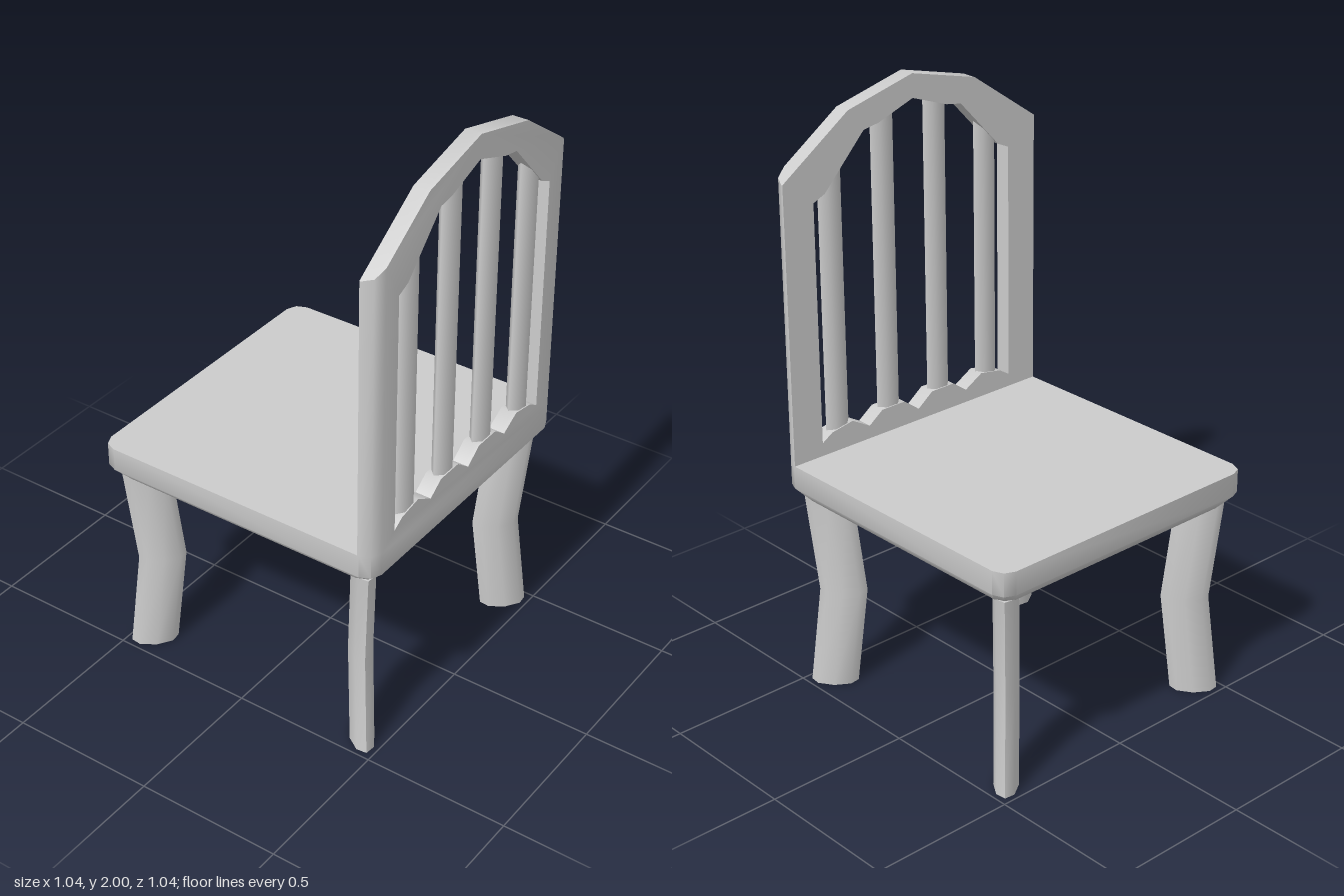
import * as THREE from 'three';
import { toCreasedNormals } from 'three/addons/utils/BufferGeometryUtils.js';

const material = new THREE.MeshStandardMaterial({ color: 0xcccccc });

function part(name, geometry) {
  const mesh = new THREE.Mesh(geometry, material);
  mesh.name = name;
  return mesh;
}

// Moves every vertex by a rule that edits it in place
function reshape(geometry, rule) {
  const pos = geometry.attributes.position;
  const v = new THREE.Vector3();
  for (let i = 0; i < pos.count; i++) {
    rule(v.fromBufferAttribute(pos, i));
    pos.setXYZ(i, v.x, v.y, v.z);
  }
  geometry.computeVertexNormals();
  return geometry;
}

const toPoints = (list) => list.map(([x, y]) => new THREE.Vector2(x, y));

// Joins a right-hand half outline with its mirror image, skipping points on the axis
const mirrored = (half) =>
  toPoints([...half, ...half.filter(([x]) => x > 0).reverse().map(([x, y]) => [-x, y])]);

// Seat: slab with clipped corners and a bevelled underside
function createSeat() {
  const corner = [[0.52, 0.47], [0.505, 0.505], [0.47, 0.52]];
  const outline = [];
  for (let q = 0; q < 4; q++) {
    for (const [x, y] of corner) {
      outline.push(new THREE.Vector2(x, y).rotateAround(new THREE.Vector2(), q * Math.PI / 2));
    }
  }
  const geo = new THREE.ExtrudeGeometry(new THREE.Shape(outline), { depth: 2, steps: 2, bevelEnabled: false });
  const heights = [0.685, 0.73, 0.81];
  reshape(geo, (v) => {
    const layer = Math.round(v.z);
    const s = layer === 0 ? 0.923 : 1;
    v.set(v.x * s, v.y * s, heights[layer]);
  });
  geo.rotateX(-Math.PI / 2);
  return part('seat', toCreasedNormals(geo, 0.9));
}

// Back frame: arched outline with an opening; rear post corners are rounded off
function createBackFrame() {
  const shape = new THREE.Shape(mirrored([[0.52, 0.81], [0.52, 1.755], [0.26, 1.935], [0, 2]]));
  shape.holes.push(new THREE.Path(mirrored([
    [0, 0.85], [0.06, 0.895], [0.155, 0.895], [0.21, 0.855], [0.28, 0.895], [0.365, 0.88], [0.405, 0.855],
    [0.405, 1.67], [0.36, 1.69], [0.2, 1.86], [0.14, 1.87], [0, 1.92],
  ])));
  const geo = new THREE.ExtrudeGeometry(shape, { depth: 3, steps: 3, bevelEnabled: false });
  const depths = [0.465, 0.47, 0.505, 0.52];
  const halfWidths = [0.52, 0.52, 0.505, 0.47];
  reshape(geo, (v) => {
    const layer = Math.round(v.z);
    v.z = depths[layer];
    if (Math.abs(v.x) > 0.5) {
      const inset = 0.52 - halfWidths[layer];
      v.x = Math.sign(v.x) * halfWidths[layer];
      if (v.y > 1) v.y += inset * 0.69;
    }
  });
  geo.rotateY(Math.PI / 2);
  return part('backFrame', toCreasedNormals(geo, 0.9));
}

// Slat: flattened six-sided bar between the seat and the arch
function createSlat(z, top) {
  const bottom = 0.8;
  const geo = new THREE.CylinderGeometry(1, 1, top - bottom, 6);
  geo.scale(0.027, 1, 0.046);
  geo.translate(0.4925, (top + bottom) / 2, z);
  return part('backSlat', geo);
}

// Leg: flattened bar set on the diagonal, kneeing inward at mid height
function createLeg(sx, sz) {
  const geo = new THREE.CylinderGeometry(1, 1, 0.69, 8, 2);
  geo.scale(0.078, 1, 0.04);
  geo.rotateY(-Math.atan2(sz, sx));
  reshape(geo, (v) => {
    const offset = Math.abs(v.y) < 0.1 ? 0.395 : 0.4225;
    v.set(v.x + sx * offset, v.y + 0.345, v.z + sz * offset);
  });
  return part('leg', toCreasedNormals(geo, 1.1));
}

export function createModel() {
  const chair = new THREE.Group();
  chair.name = 'chair';
  chair.add(createSeat(), createBackFrame());
  for (const side of [-1, 1]) {
    chair.add(createSlat(side * 0.108, 1.9), createSlat(side * 0.322, 1.8));
    for (const end of [-1, 1]) chair.add(createLeg(side, end));
  }
  return chair;
}
